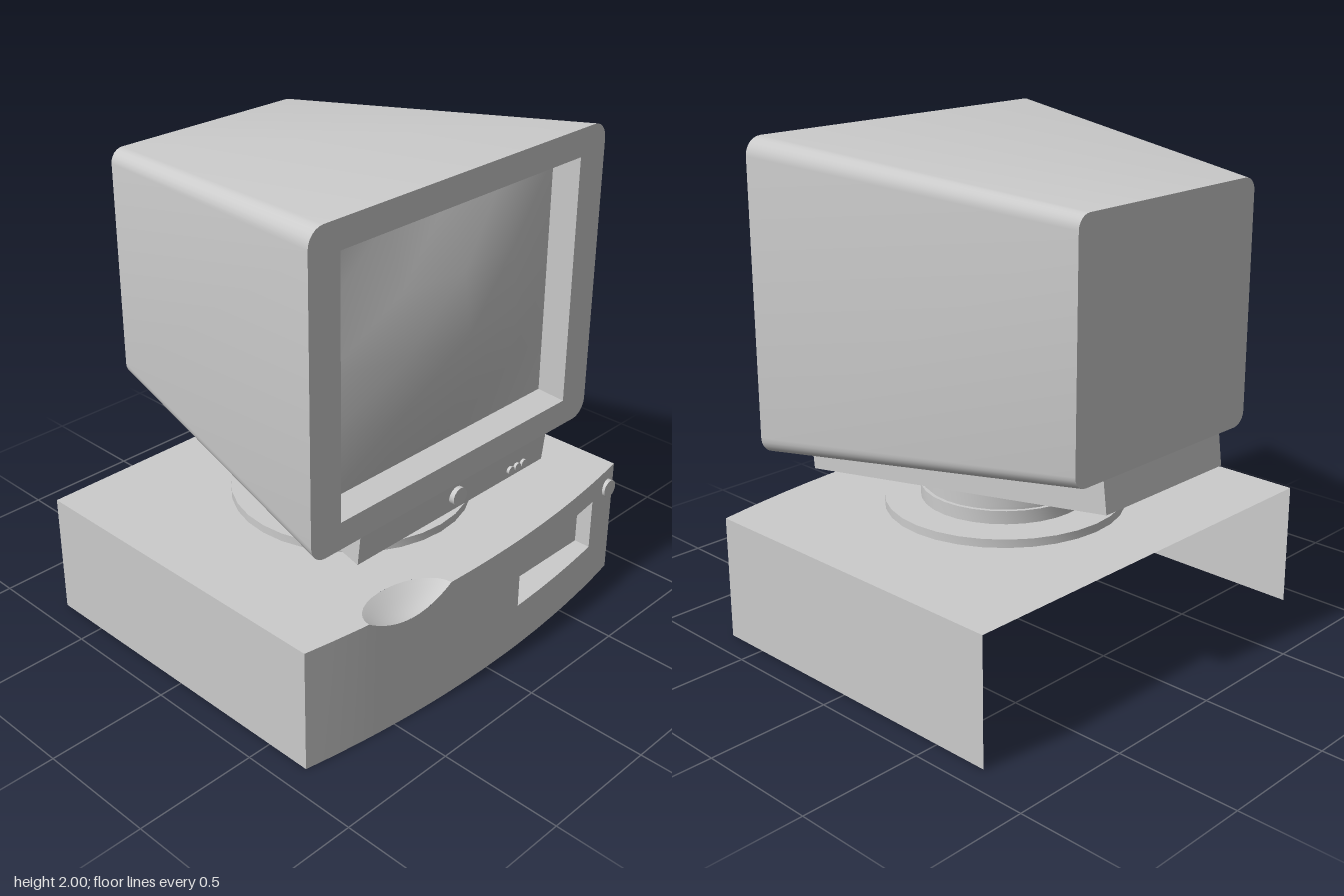
import * as THREE from 'three';
import { toCreasedNormals } from 'three/addons/utils/BufferGeometryUtils.js';

const mat = new THREE.MeshStandardMaterial({ color: 0xcccccc, side: THREE.DoubleSide });
const V = (x, y, z) => new THREE.Vector3(x, y, z);

// Skin between successive rows of points; closed rows wrap around
function loft(rows, closed = false) {
  const n = rows[0].length, idx = [];
  for (let i = 0; i < rows.length - 1; i++) {
    for (let j = 0; j < (closed ? n : n - 1); j++) {
      const a = i * n + j, b = i * n + (j + 1) % n;
      idx.push(a, b, b + n, a, b + n, a + n);
    }
  }
  const g = new THREE.BufferGeometry().setFromPoints(rows.flat());
  g.setIndex(idx);
  return toCreasedNormals(g, 0.6);
}

// Flat panel facing +x, from points in (z, y), with optional holes
function panel(x, pts, holes = []) {
  const flat = (list) => list.map((p) => new THREE.Vector2(-p.z, p.y));
  const s = new THREE.Shape(flat(pts));
  s.holes = holes.map((h) => new THREE.Path(flat(h)));
  return new THREE.ShapeGeometry(s).rotateY(Math.PI / 2).translate(x, 0, 0);
}

// Rounded rectangle ring in the plane x
function ring(x, half, y0, y1, r) {
  if (!r) return [V(x, y1, half), V(x, y1, -half), V(x, y0, -half), V(x, y0, half)];
  const pts = [];
  const corners = [[half - r, y1 - r], [r - half, y1 - r], [r - half, y0 + r], [half - r, y0 + r]];
  corners.forEach(([z, y], c) => {
    for (let i = 0; i <= 6; i++) {
      const a = (c + i / 6) * Math.PI / 2;
      pts.push(V(x, y + r * Math.sin(a), z + r * Math.cos(a)));
    }
  });
  return pts;
}

export function createModel() {
  const model = new THREE.Group();
  model.name = 'desktopComputer';
  const add = (name, geometry, parent) => {
    const m = new THREE.Mesh(geometry, mat);
    m.name = name;
    parent.add(m);
    return m;
  };
  const group = (name) => {
    const g = new THREE.Group();
    g.name = name;
    model.add(g);
    return g;
  };
  // Round button whose axis points along x
  const button = (name, r, x0, x1, y, z, parent) => add(name,
    new THREE.CylinderGeometry(r, r, x1 - x0, 20).rotateZ(-Math.PI / 2).translate((x0 + x1) / 2, y, z), parent);

  // ---- Case: open at the back and the bottom ----
  const box = group('case');
  const H = 0.51, W = 0.9, BACK = -0.73;
  const frontX = (z) => 0.775 - 0.085 * (z / W) ** 2;
  const scoopZ = 0.425, scoopR = 0.2;
  const inScoop = (z) => Math.max(0, 1 - ((z - scoopZ) / scoopR) ** 2);
  const scoopBackX = (z) => frontX(z) - 0.13 * Math.sqrt(inScoop(z));
  const rimY = (z) => H - 0.065 * inScoop(z);

  const bay = { z0: -0.72, z1: -0.185, y0: 0.195, y1: 0.415, x: 0.65 };
  const scoopZs = [];
  for (let i = 0; i <= 16; i++) scoopZs.push(scoopZ - scoopR * Math.cos(i / 16 * Math.PI));
  const zs = [bay.z0, bay.z1, ...scoopZs];
  for (let i = 0; i <= 16; i++) zs.push(-W + i * W / 8);
  zs.sort((a, b) => a - b);

  // Bowed front, built in bands so that the drive bay stays open
  const band = (list, low, high) => loft([
    list.map((z) => V(frontX(z), high(z), z)),
    list.map((z) => V(frontX(z), low(z), z)),
  ]);
  const bayZs = zs.filter((z) => z >= bay.z0 && z <= bay.z1);
  add('caseFrontRight', band(zs.filter((z) => z <= bay.z0), () => 0, rimY), box);
  add('caseFrontLeft', band(zs.filter((z) => z >= bay.z1), () => 0, rimY), box);
  add('caseFrontBelowBay', band(bayZs, () => 0, () => bay.y0), box);
  add('caseFrontAboveBay', band(bayZs, () => bay.y1, () => H), box);

  // Recessed drive bay with its slot
  const mouth = [
    ...bayZs.map((z) => V(frontX(z), bay.y0, z)),
    ...[...bayZs].reverse().map((z) => V(frontX(z), bay.y1, z)),
  ];
  const deep = mouth.map((p) => V(bay.x, p.y, p.z));
  add('driveBayWalls', loft([mouth, deep], true), box);
  add('driveBayPanel', panel(bay.x, deep), box);
  add('driveSlot', new THREE.BoxGeometry(0.02, 0.015, 0.4).translate(bay.x + 0.005, 0.32, -0.45), box);

  // Top with a round opening under the swivel base and a notch for the scoop
  const swivelX = 0.035;
  const top = new THREE.Shape([
    new THREE.Vector2(BACK, W),
    ...zs.map((z) => new THREE.Vector2(scoopBackX(z), -z)),
    new THREE.Vector2(BACK, -W),
  ]);
  top.holes.push(new THREE.Path().absarc(swivelX, 0, 0.475, 0, Math.PI * 2, true));
  add('caseTop', new THREE.ShapeGeometry(top, 32).rotateX(-Math.PI / 2).translate(0, H, 0), box);
  for (const s of [-1, 1]) {
    add(s > 0 ? 'caseSideLeft' : 'caseSideRight', new THREE.PlaneGeometry(0.69 - BACK, H)
      .rotateY(s > 0 ? 0 : Math.PI).translate((0.69 + BACK) / 2, H / 2, s * W), box);
  }

  // Finger scoop curving from the top down to the front edge
  const scoopRows = [];
  for (let i = 0; i <= 6; i++) {
    const t = i / 6;
    scoopRows.push(scoopZs.map((z) => V(
      THREE.MathUtils.lerp(scoopBackX(z), frontX(z), t),
      H - (H - rimY(z)) * Math.sin(t * Math.PI / 2), z)));
  }
  add('fingerScoop', loft(scoopRows), box);
  button('casePowerButton', 0.038, 0.69, 0.72, 0.425, -0.84, box);

  // ---- Swivel base: plate, grooved neck, closed recess underneath ----
  const profile = [
    [0, 0.541], [0.38, 0.541], [0.38, 0.512], [0.485, 0.512], [0.485, 0.546], [0.34, 0.546],
    [0.34, 0.6], [0.325, 0.6], [0.325, 0.615], [0.34, 0.615], [0.34, 0.74],
  ].map(([r, y]) => new THREE.Vector2(r, y));
  add('swivelBase', toCreasedNormals(new THREE.LatheGeometry(profile, 32), 0.6)
    .translate(swivelX, 0, 0), model);

  // ---- Monitor ----
  const monitor = group('monitor');
  const front = ring(0.6, 0.775, 0.765, 2, 0.07);
  const rear = ring(-0.765, 0.485, 0.905, 1.865, 0.055);
  const opening = ring(0.6, 0.63, 0.875, 1.89, 0);
  const glassEdge = ring(0.495, 0.605, 0.9, 1.87, 0);
  add('monitorShell', loft([rear, front], true), monitor);
  add('monitorBack', panel(-0.765, rear).rotateY(0), monitor);
  add('bezel', panel(0.6, front, [opening]), monitor);
  add('bezelRecess', loft([opening, glassEdge], true), monitor);

  // Bulging glass
  const glass = new THREE.PlaneGeometry(1.21, 0.97, 4, 4);
  const gp = glass.attributes.position;
  for (let i = 0; i < gp.count; i++) {
    const u = gp.getX(i) / 0.605, v = gp.getY(i) / 0.485;
    gp.setZ(i, 0.13 * (1 - u * u) * (1 - v * v));
  }
  glass.computeVertexNormals();
  add('screen', glass.rotateY(Math.PI / 2).translate(0.495, 1.385, 0), monitor);

  // Tapered, sloping chin under the shell
  const chin = new THREE.BoxGeometry(2, 2, 2);
  const cp = chin.attributes.position;
  for (let i = 0; i < cp.count; i++) {
    const up = cp.getY(i) > 0, s = Math.sign(cp.getZ(i));
    if (cp.getX(i) > 0) cp.setXYZ(i, up ? 0.598 : 0.585, up ? 0.768 : 0.645, s * 0.53);
    else cp.setXYZ(i, up ? -0.764 : -0.78, up ? 0.907 : 0.78, s * 0.335);
  }
  chin.computeVertexNormals();
  add('monitorChin', chin, monitor);
  button('monitorPowerButton', 0.038, 0.58, 0.615, 0.712, 0.005, monitor);
  for (let i = 0; i < 3; i++) button('adjustButton', 0.017, 0.575, 0.602, 0.683, -0.32 - i * 0.04, monitor);

  return model;
}
